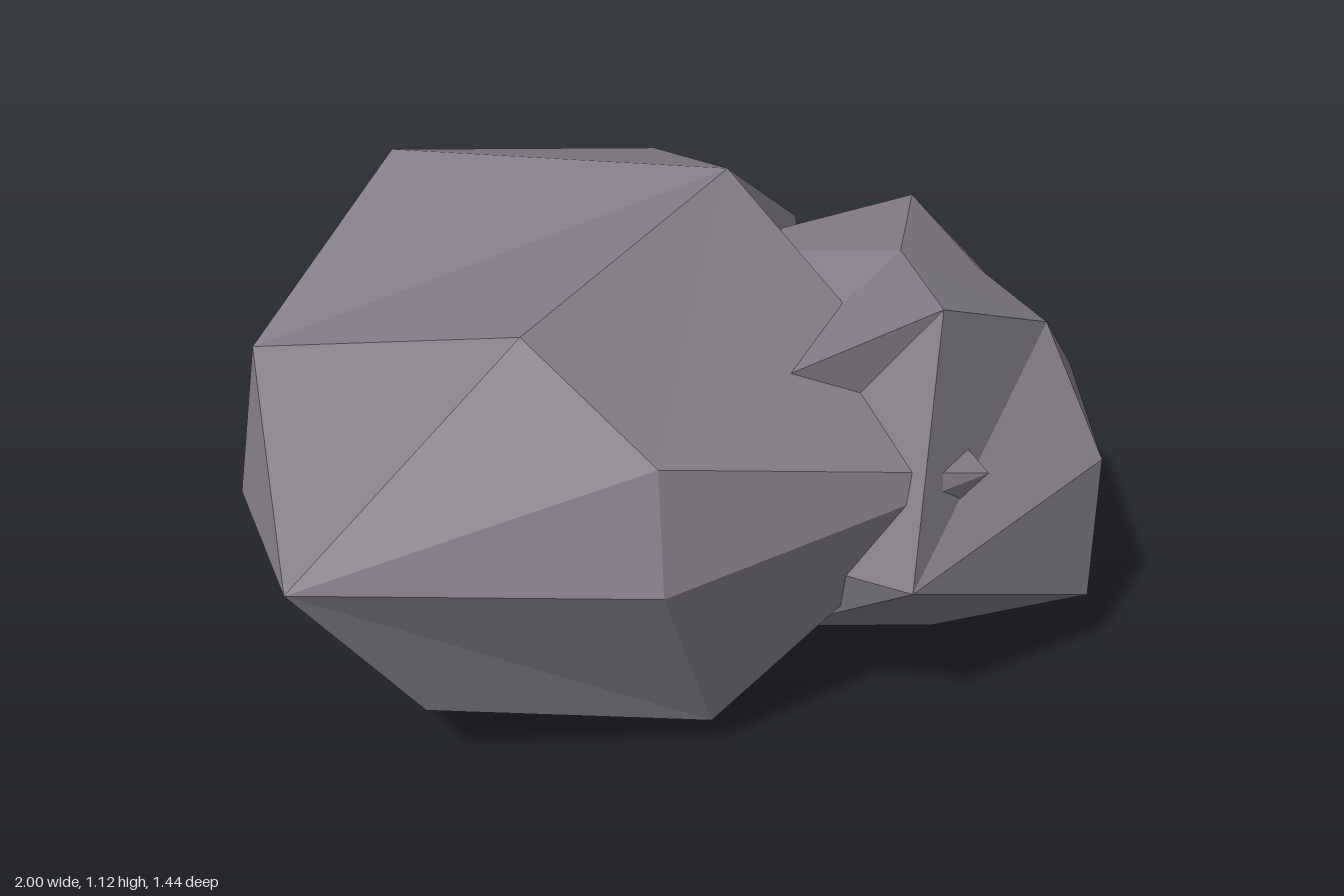
import * as THREE from 'three';

// A rough twelve-sided boulder from its corners and five-cornered facets;
// each facet is fanned from its first corner and every triangle turned outwards
function boulder(name, corners, facets, material) {
  const points = corners.map(([x, y, z]) => new THREE.Vector3(x, y, z));
  const centre = new THREE.Box3().setFromPoints(points).getCenter(new THREE.Vector3());
  const triangle = new THREE.Triangle();
  const normal = new THREE.Vector3();
  const middle = new THREE.Vector3();
  const positions = [];
  for (const facet of facets) {
    for (let i = 1; i < facet.length - 1; i++) {
      const [a, b, c] = [facet[0], facet[i], facet[i + 1]].map((n) => points[n]);
      triangle.set(a, b, c).getNormal(normal);
      triangle.getMidpoint(middle).sub(centre);
      const ordered = normal.dot(middle) > 0 ? [a, b, c] : [a, c, b];
      for (const p of ordered) positions.push(p.x, p.y, p.z);
    }
  }
  const geometry = new THREE.BufferGeometry();
  geometry.setAttribute('position', new THREE.Float32BufferAttribute(positions, 3));
  geometry.computeVertexNormals();
  const mesh = new THREE.Mesh(geometry, material);
  mesh.name = name;
  return mesh;
}

export function createModel() {
  const group = new THREE.Group();
  group.name = 'rocks';
  const stone = new THREE.MeshStandardMaterial({ color: 0x857f89, flatShading: true });
  stone.name = 'stone grey';

  group.add(boulder('largeBoulder', [
    // top ring, 0 to 4
    [-0.51, 1.075, 0.27], [0.2, 1.12, -0.01], [0.28, 1.0, -0.385], [-0.22, 1.02, -0.685],
    [-0.78, 0.87, -0.325],
    // upper ring, 5 to 9
    [-0.87, 0.59, -0.25], [-0.375, 0.86, 0.535], [0.375, 0.64, 0.66], [0.49, 0.87, -0.135],
    [0.52, 0.52, -0.675],
    // lower ring, 10 to 14
    [-1, 0.61, 0.16], [-0.4, 0.6, 0.59], [0.48, 0.215, 0], [0.68, 0.64, -0.01],
    [-0.46, 0.59, -0.72],
    // bottom ring, 15 to 19
    [-0.69, 0.19, 0.15], [-0.15, 0.09, 0.42], [-0.13, 0, -0.1], [0.23, 0.045, -0.53],
    [-0.48, 0.19, -0.37],
  ], [
    [1, 0, 4, 3, 2],
    [6, 0, 1, 7, 11], [10, 6, 0, 4, 5], [1, 2, 8, 12, 7], [2, 3, 9, 13, 8], [3, 4, 5, 14, 9],
    [10, 6, 11, 16, 15], [16, 11, 7, 12, 17], [12, 8, 13, 18, 17], [18, 13, 9, 14, 19],
    [5, 14, 19, 15, 10],
    [17, 18, 19, 15, 16],
  ], stone));

  group.add(boulder('smallBoulder', [
    // top ring, 0 to 4
    [0.3, 1.01, 0.575], [0.69, 0.81, 0.475], [0.735, 0.81, 0.205], [0.73, 0.9, -0.02],
    [0.465, 0.955, 0.25],
    // upper ring, 5 to 9
    [0.13, 0.47, 0.72], [0.72, 0.54, 0.645], [1, 0.5, 0.25], [0.22, 0.86, -0.15],
    [-0.02, 0.83, 0.36],
    // lower ring, 10 to 14
    [0.715, 0.19, 0.645], [0.87, 0.28, 0.24], [0.725, 0.42, -0.175], [0.22, 0.42, -0.165],
    [-0.03, 0.42, 0.26],
    // bottom ring, 15 to 19
    [0.31, 0.245, 0.59], [0.52, 0.05, 0.18], [0.53, 0.25, -0.1], [0.25, 0.16, 0],
    [0.08, 0.205, 0.36],
  ], [
    [4, 0, 1, 2, 3],
    [5, 10, 6, 1, 0], [7, 2, 1, 6, 11], [3, 2, 7, 12, 8], [8, 13, 9, 4, 3], [0, 4, 9, 14, 5],
    [5, 14, 19, 15, 10], [10, 6, 11, 16, 15], [11, 7, 12, 17, 16], [12, 8, 13, 18, 17],
    [9, 13, 18, 19, 14],
    [16, 15, 19, 18, 17],
  ], stone));

  return group;
}
